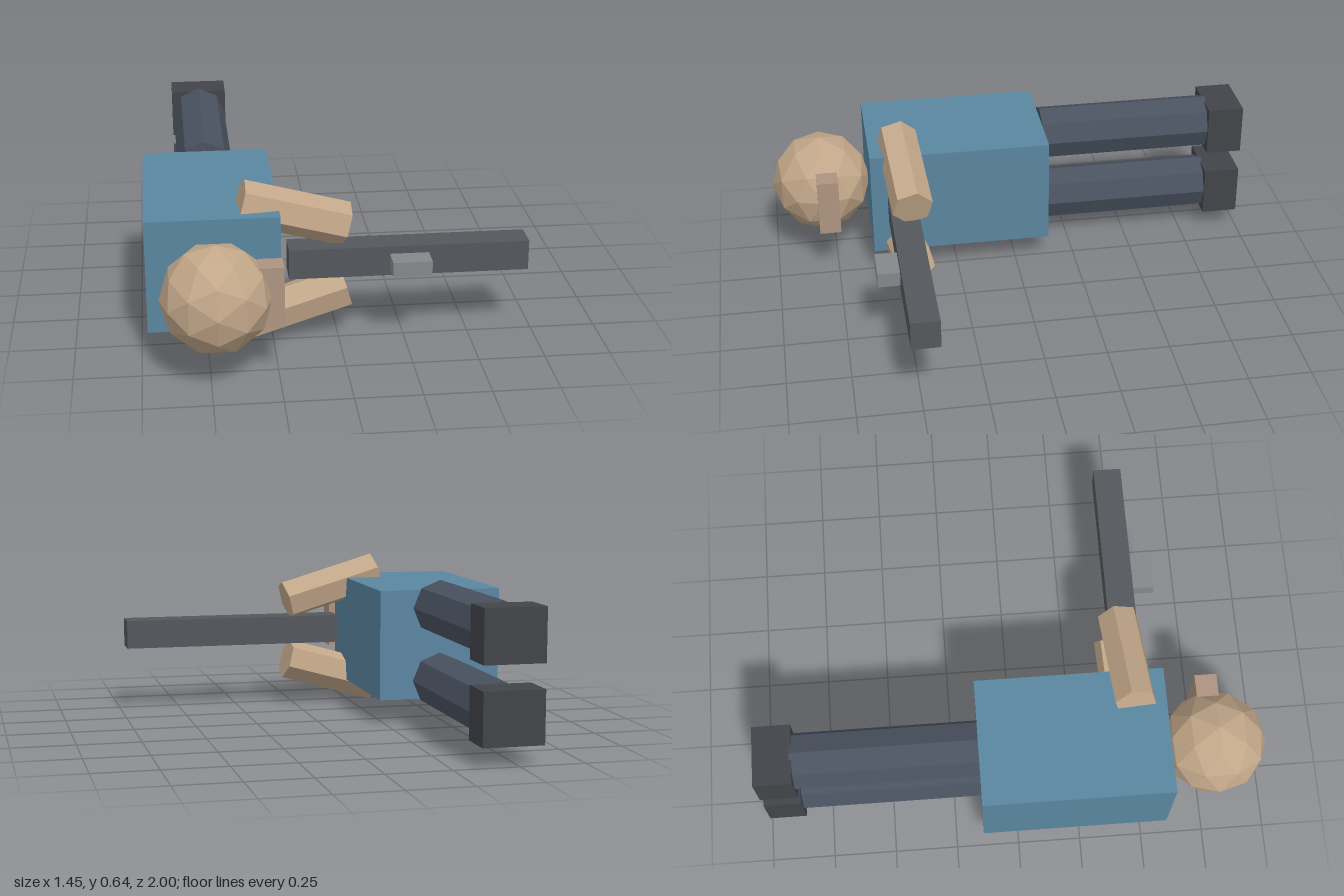
import * as THREE from 'three';

const MID_Y = 0.324; // the figure lies along z and is mirrored across this height
const BODY_X = -0.475;

const material = (color) => new THREE.MeshStandardMaterial({ color, flatShading: true });
const skin = material(0xc2a789);
const cloth = material(0x5a86a0);
const trousers = material(0x4a5260);
const boots = material(0x424449);
const metal = material(0x54575c);
const lightMetal = material(0x85888b);
const noseSkin = material(0xae9480);

export function createModel() {
  const model = new THREE.Group();
  model.name = 'lyingFigure';

  const add = (name, geometry, mat, x, y, z) => {
    const mesh = new THREE.Mesh(geometry, mat);
    mesh.name = name;
    mesh.position.set(x, y, z);
    model.add(mesh);
    return mesh;
  };
  const box = (name, mat, [w, h, d], [x, y, z]) =>
    add(name, new THREE.BoxGeometry(w, h, d), mat, x, y, z);

  // Cylinder between two points, one corner of its section facing x before turning
  const limb = (name, mat, radius, sides, from, to) => {
    const axis = to.clone().sub(from);
    const geometry = new THREE.CylinderGeometry(radius, radius, axis.length(), sides)
      .rotateY(Math.PI / 2)
      .rotateX(Math.PI / 2);
    const mid = from.clone().add(to).multiplyScalar(0.5);
    const mesh = add(name, geometry, mat, mid.x, mid.y, mid.z);
    mesh.quaternion.setFromUnitVectors(new THREE.Vector3(0, 0, 1), axis.normalize());
  };

  // Torso, head and face
  box('torso', cloth, [0.5, 0.443, 0.74], [BODY_X, MID_Y + 0.001, 0.23]);
  add('head', new THREE.IcosahedronGeometry(0.205, 1), skin, BODY_X, MID_Y + 0.001, 0.795);
  box('nose', noseSkin, [0.09, 0.235, 0.087], [-0.275, MID_Y + 0.001, 0.776]);

  // Arms, legs and boots on both sides
  for (const [side, s] of [['upper', 1], ['lower', -1]]) {
    limb(side + 'Arm', skin, 0.084, 6,
      new THREE.Vector3(-0.368, MID_Y + s * 0.242, 0.478),
      new THREE.Vector3(0.031, MID_Y + s * 0.127, 0.453));
    const legY = MID_Y + 0.002 + s * 0.148;
    limb(side + 'Leg', trousers, 0.112, 8,
      new THREE.Vector3(BODY_X, legY, -0.14),
      new THREE.Vector3(BODY_X, legY, -0.86));
    box(side + 'Boot', boots, [0.235, 0.203, 0.148], [BODY_X - 0.001, legY, -0.926]);
  }

  // Held long bar with a small sight on it
  box('barrel', metal, [0.912, 0.117, 0.113], [0.265, MID_Y + 0.001, 0.479]);
  box('sight', lightMetal, [0.148, 0.058, 0.09], [0.264, MID_Y + 0.001, 0.578]);

  return model;
}
